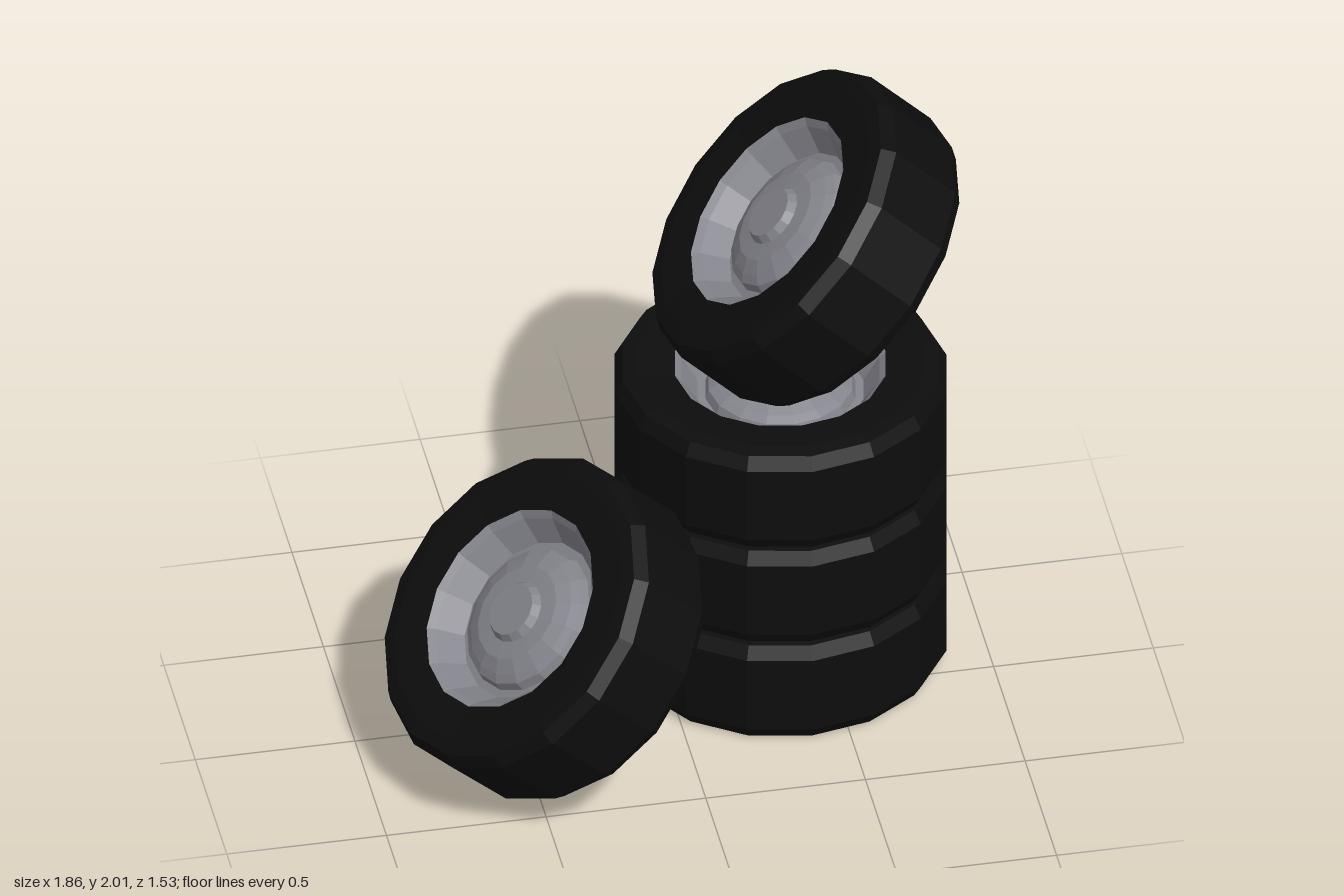
import * as THREE from 'three';

const SIDES = 16;
const rubber = new THREE.MeshStandardMaterial({ color: 0x0d0d0d, flatShading: true });
rubber.name = 'black rubber';
const metal = new THREE.MeshStandardMaterial({ color: 0x85858d, flatShading: true });
metal.name = 'grey metal';

// Profiles are [radius, height along the axle], centred on the wheel
const lathe = (points) =>
  new THREE.LatheGeometry(points.map(([r, y]) => new THREE.Vector2(r, y)), SIDES);

// Tyre: inner edge of the back wall, round the tread, to the rim opening
const tyreGeometry = lathe([
  [0.34, -0.172], [0.45, -0.178], [0.495, -0.172], [0.52, -0.13],
  [0.52, 0.13], [0.495, 0.172], [0.45, 0.178], [0.33, 0.17],
]);
// Dished rim rising to a raised hub
const rimGeometry = lathe([
  [0.33, 0.17], [0.31, 0.15], [0.26, 0.07], [0.235, 0.07], [0.225, 0.1],
  [0.2, 0.115], [0.155, 0.135], [0.1, 0.14], [0.085, 0.165], [0, 0.165],
]);
// Flat plate closing the back
const backGeometry = lathe([[0, -0.172], [0.34, -0.172]]);

function makeWheel(name, x, y, z, yaw = 0, tilt = 0) {
  const wheel = new THREE.Group();
  wheel.name = name;
  const parts = [
    ['tyre', tyreGeometry, rubber],
    ['rim', rimGeometry, metal],
    ['backPlate', backGeometry, metal],
  ];
  for (const [partName, geometry, material] of parts) {
    const mesh = new THREE.Mesh(geometry, material);
    mesh.name = partName;
    wheel.add(mesh);
  }
  wheel.position.set(x, y, z);
  // Tilt about z first, then turn about y
  wheel.rotation.set(0, THREE.MathUtils.degToRad(yaw), THREE.MathUtils.degToRad(tilt), 'YXZ');
  return wheel;
}

export function createModel() {
  const model = new THREE.Group();
  model.name = 'wheelPile';

  // Stack of three lying flat
  for (let i = 0; i < 3; i++) {
    model.add(makeWheel(`stackedWheel${i + 1}`, 0.38, 0.178 + 0.36 * i, -0.243));
  }
  // One propped on top and one leaning against the side
  model.add(makeWheel('topWheel', 0.46, 1.535, -0.243, 0, 45.5));
  model.add(makeWheel('leaningWheel', -0.453, 0.52, 0.235, 17.5, 45.5));
  return model;
}
